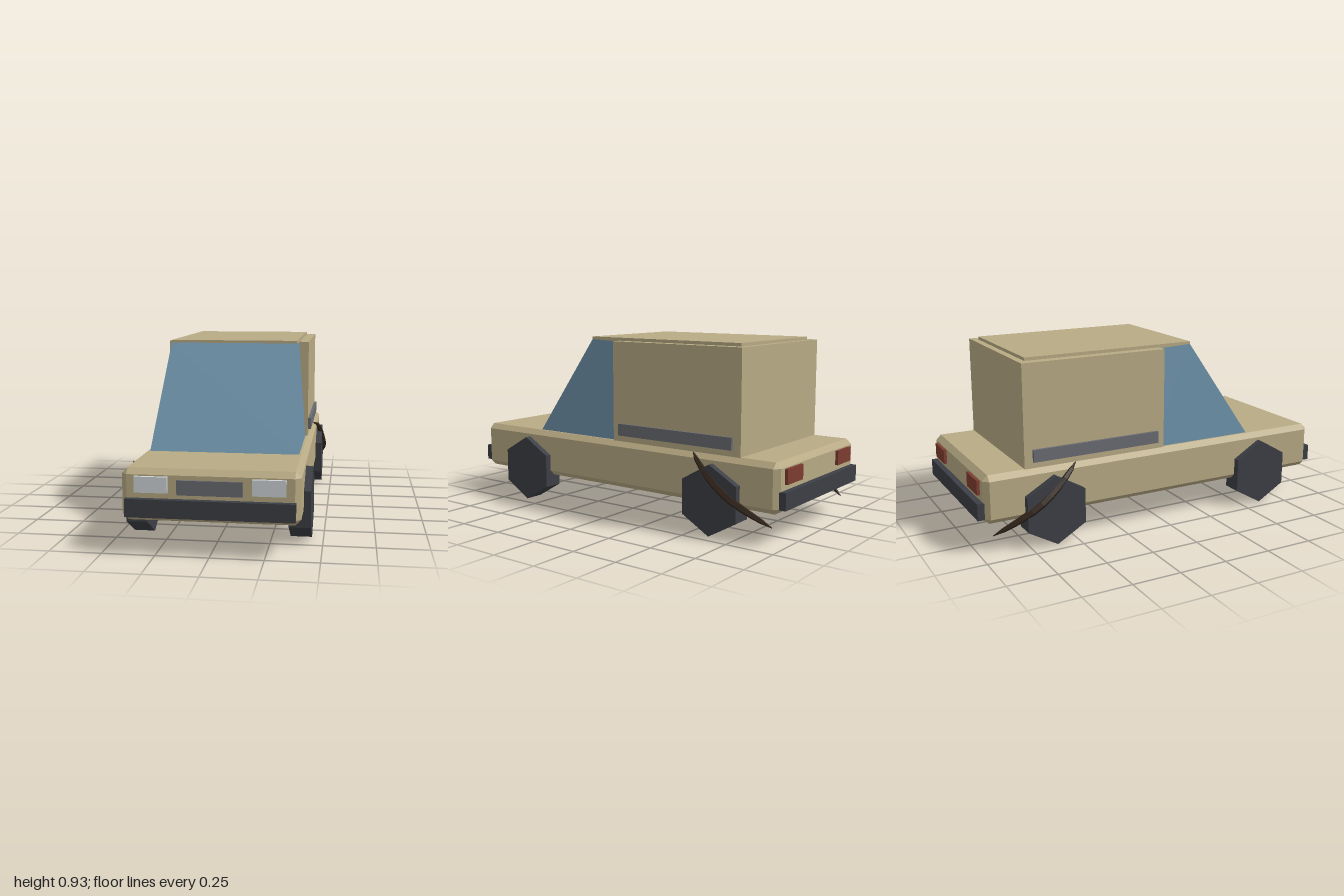
import * as THREE from 'three';
import { ConvexGeometry } from 'three/addons/geometries/ConvexGeometry.js';

const paint = (color) => new THREE.MeshStandardMaterial({ color, flatShading: true });
const tan = paint(0xb8aa84), glass = paint(0x6c90a8), dark = paint(0x3c3f45);
const grey = paint(0x6a6c72), lamp = paint(0xd0d5d8), red = paint(0x7e3c30), brown = paint(0x33261c);

export function createModel() {
  const car = new THREE.Group();
  car.name = 'car';

  const add = (name, geometry, material) => {
    const mesh = new THREE.Mesh(geometry, material);
    mesh.name = name;
    car.add(mesh);
    return mesh;
  };
  // box given by its limits on each axis
  const box = (name, material, [x0, x1], [y0, y1], [z0, z1]) =>
    add(name, new THREE.BoxGeometry(x1 - x0, y1 - y0, z1 - z0), material)
      .position.set((x0 + x1) / 2, (y0 + y1) / 2, (z0 + z1) / 2);

  // lower body: box with every edge chamfered
  const corners = [];
  const [w, h, d, c] = [0.41, 0.1225, 0.97, 0.027];
  for (const x of [-1, 1]) for (const y of [-1, 1]) for (const z of [-1, 1]) {
    corners.push(
      new THREE.Vector3(x * w, y * (h - c), z * (d - c)),
      new THREE.Vector3(x * (w - c), y * h, z * (d - c)),
      new THREE.Vector3(x * (w - c), y * (h - c), z * d));
  }
  add('lowerBody', new ConvexGeometry(corners), tan).position.y = 0.2725;

  // glazed front cab: tapered block with a sloping windscreen
  const cab = [];
  for (const s of [-1, 1]) cab.push(
    new THREE.Vector3(s * 0.373, 0.39, 0.56), new THREE.Vector3(s * 0.373, 0.39, -0.05),
    new THREE.Vector3(s * 0.333, 0.914, 0.205), new THREE.Vector3(s * 0.333, 0.905, -0.05));
  add('cabGlass', new ConvexGeometry(cab), glass);

  // rear cabin and roof
  box('rearCabin', tan, [-0.385, 0.385], [0.39, 0.912], [-0.755, 0.02]);
  box('roofPanel', tan, [-0.333, 0.333], [0.908, 0.928], [-0.72, 0.205]);

  // bumpers and grille
  box('frontBumper', dark, [-0.388, 0.388], [0.175, 0.26], [0.955, 1]);
  box('rearBumper', dark, [-0.388, 0.388], [0.175, 0.26], [-1, -0.955]);
  box('grille', grey, [-0.15, 0.15], [0.28, 0.348], [0.96, 0.982]);

  // horn-shaped spike beside each rear wheel: tube tapered to both ends
  const spike = (s) => {
    const path = new THREE.CatmullRomCurve3([
      [0.385, 0.392, -0.485], [0.42, 0.37, -0.525], [0.44, 0.285, -0.615],
      [0.445, 0.205, -0.725], [0.42, 0.145, -0.82], [0.375, 0.08, -0.925],
    ].map(([x, y, z]) => new THREE.Vector3(s * x, y, z)));
    const steps = 10, sides = 5;
    const geo = new THREE.TubeGeometry(path, steps, 0.02, sides);
    const pos = geo.attributes.position, p = new THREE.Vector3();
    for (let i = 0; i < pos.count; i++) {
      const t = Math.floor(i / (sides + 1)) / steps;
      const centre = path.getPointAt(t);
      p.fromBufferAttribute(pos, i).sub(centre)
        .multiplyScalar(0.08 + 0.92 * Math.sqrt(Math.sin(Math.PI * t) + 1e-6)).add(centre);
      pos.setXYZ(i, p.x, p.y, p.z);
    }
    return geo;
  };

  // hexagonal wheel with a corner at the top
  const wheel = new THREE.CylinderGeometry(0.177, 0.177, 0.104, 6)
    .rotateY(Math.PI / 2).rotateZ(Math.PI / 2);

  // parts repeated on both sides
  for (const s of [-1, 1]) {
    const side = s > 0 ? 'left' : 'right';
    const span = (a, b) => (s > 0 ? [a, b] : [-b, -a]);
    box(side + 'Headlight', lamp, span(0.192, 0.345), [0.288, 0.362], [0.96, 0.988]);
    box(side + 'TailLight', red, span(0.192, 0.345), [0.288, 0.362], [-0.985, -0.96]);
    box(side + 'SideRail', grey, span(0.38, 0.4), [0.425, 0.487], [-0.712, -0.02]);
    add(side + 'FrontWheel', wheel, dark).position.set(s * 0.392, 0.177, 0.615);
    add(side + 'RearWheel', wheel, dark).position.set(s * 0.392, 0.177, -0.615);
    add(side + 'Spike', spike(s), brown);
  }
  return car;
}
